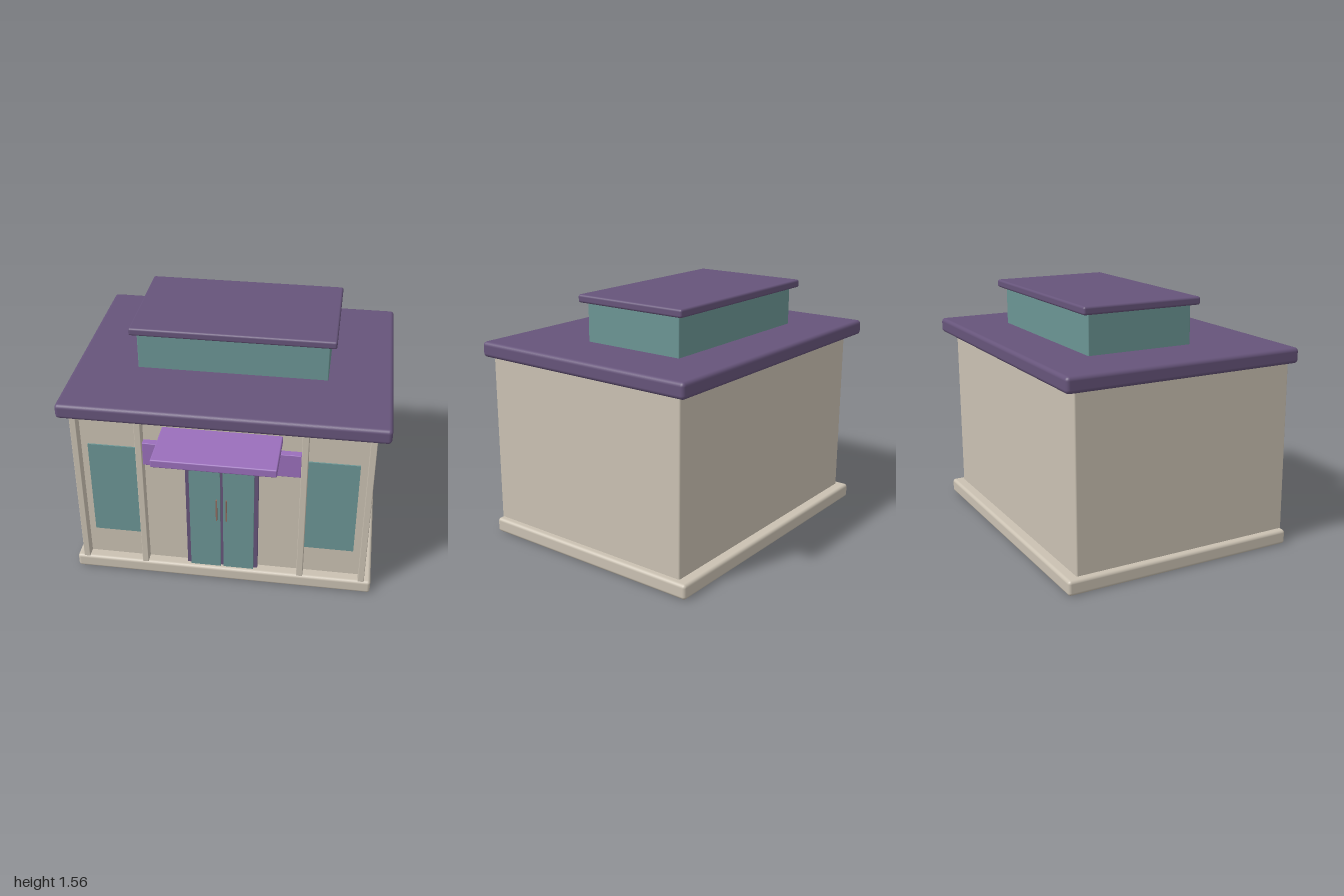
import * as THREE from 'three';
import { RoundedBoxGeometry } from 'three/addons/geometries/RoundedBoxGeometry.js';

const mat = (name, color) => {
  const m = new THREE.MeshStandardMaterial({ color });
  m.name = name;
  return m;
};

export function createModel() {
  const stone = mat('stone', 0xcac1b2);
  const roofPurple = mat('roofPurple', 0x66547a);
  const signPurple = mat('signPurple', 0x9a6fbb);
  const glass = mat('glass', 0x6b9594);
  const bronze = mat('bronze', 0x8f6b60);

  const group = new THREE.Group();
  group.name = 'shopBuilding';

  // Box given by its limits on each axis, with optionally rounded edges
  function block(name, material, [x0, x1], [y0, y1], [z0, z1], radius = 0) {
    const w = x1 - x0, h = y1 - y0, d = z1 - z0;
    const geo = radius
      ? new RoundedBoxGeometry(w, h, d, 3, radius)
      : new THREE.BoxGeometry(w, h, d);
    const mesh = new THREE.Mesh(geo, material);
    mesh.name = name;
    mesh.position.set((x0 + x1) / 2, (y0 + y1) / 2, (z0 + z1) / 2);
    group.add(mesh);
  }

  // Plinth, walls and main roof
  block('plinth', stone, [-0.963, 0.963], [0, 0.092], [-0.888, 0.625], 0.02);
  block('walls', stone, [-0.92, 0.92], [0.06, 1.2], [-0.818, 0.555], 0.01);
  block('roofSlab', roofPurple, [-1, 1], [1.172, 1.268], [-0.9, 0.635], 0.024);

  // Clerestory box with its own cap
  block('clerestory', glass, [-0.6, 0.6], [1.25, 1.52], [-0.567, 0.12], 0.006);
  block('clerestoryCap', roofPurple, [-0.642, 0.642], [1.51, 1.56], [-0.614, 0.164], 0.014);

  // Sign panel and canopy over the entrance
  block('signPanel', signPurple, [-0.485, 0.485], [0.86, 1.02], [0.54, 0.6], 0.004);
  block('canopy', signPurple, [-0.366, 0.366], [1.07, 1.122], [0.54, 0.9], 0.008);

  // Door frame centre post
  block('doorFrameBack', roofPurple, [-0.228, 0.228], [0.085, 0.87], [0.545, 0.585]);

  // Mirrored parts of the front
  for (const s of [-1, 1]) {
    const side = s > 0 ? 'left' : 'right';
    const span = (a, b) => (s > 0 ? [a, b] : [-b, -a]);
    block(side + 'CornerPilaster', stone, span(0.88, 0.92), [0.08, 1.18], [0.54, 0.618], 0.004);
    block(side + 'InnerPilaster', stone, span(0.485, 0.525), [0.08, 1.18], [0.54, 0.618], 0.004);
    block(side + 'Window', glass, span(0.51, 0.837), [0.29, 0.957], [0.556, 0.565]);
    block(side + 'DoorPanel', glass, span(0.009, 0.203), [0.085, 0.865], [0.57, 0.6]);
    block(side + 'DoorHandle', bronze, span(0.027, 0.035), [0.48, 0.64], [0.6, 0.614]);
  }
  return group;
}
